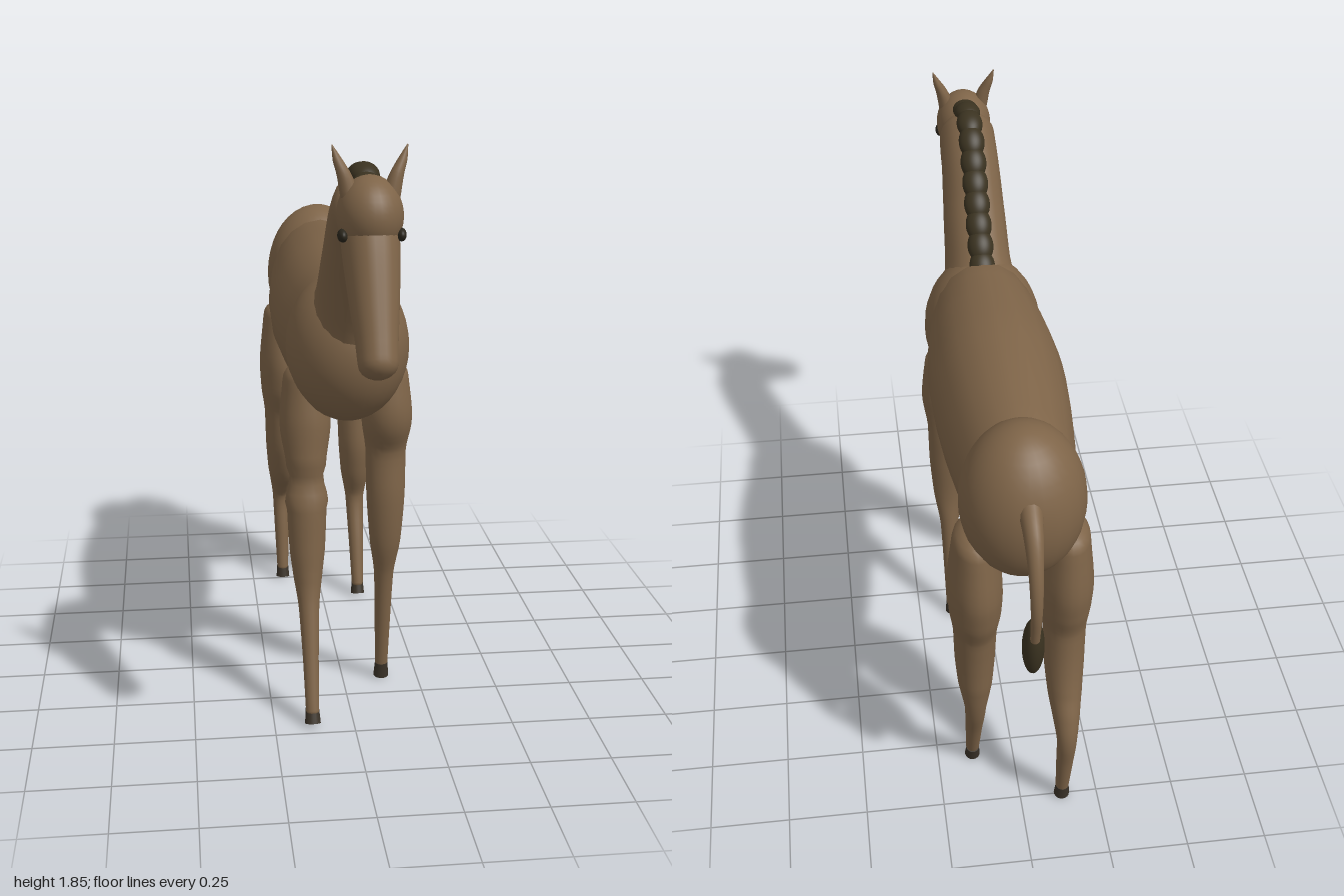
import * as THREE from 'three';

const mat = (name, color, side = THREE.FrontSide) => {
  const m = new THREE.MeshStandardMaterial({ color, side });
  m.name = name;
  return m;
};

// Smooth round-ended skin through sections [x, y, z, halfWidthX, halfDepth]
function loft(sections, sides = 20, steps = 5, round = 0.8) {
  const mid = new THREE.CatmullRomCurve3(sections.map(s => new THREE.Vector3(s[0], s[1], s[2])));
  const rad = new THREE.CatmullRomCurve3(sections.map(s => new THREE.Vector3(s[3], s[4], 0)));
  const n = (sections.length - 1) * steps;
  const rings = [];
  const tangent = t => mid.getTangent(t).setX(0).normalize();
  const cap = (t, sign) => {
    const c = mid.getPoint(t), r = rad.getPoint(t), T = tangent(t);
    const out = [];
    for (let k = 1; k <= 5; k++) {
      const a = k / 5 * Math.PI / 2;
      const depth = sign * round * Math.min(r.x, r.y) * Math.sin(a);
      const w = Math.max(Math.cos(a), 0.001);
      out.push({ c: c.clone().addScaledVector(T, depth), rx: r.x * w, rz: r.y * w, T });
    }
    return out;
  };
  rings.push(...cap(0, -1).reverse());
  for (let i = 0; i <= n; i++) {
    const t = i / n, r = rad.getPoint(t);
    rings.push({ c: mid.getPoint(t), rx: r.x, rz: r.y, T: tangent(t) });
  }
  rings.push(...cap(1, 1));

  const pos = [], idx = [], X = new THREE.Vector3(1, 0, 0);
  rings.forEach(({ c, rx, rz, T }, i) => {
    const B = new THREE.Vector3().crossVectors(T, X);
    for (let j = 0; j < sides; j++) {
      const a = j / sides * Math.PI * 2;
      const p = c.clone().addScaledVector(X, rx * Math.cos(a)).addScaledVector(B, rz * Math.sin(a));
      pos.push(p.x, p.y, p.z);
      if (i < rings.length - 1) {
        const k = (j + 1) % sides, u = i * sides, v = u + sides;
        idx.push(u + j, u + k, v + j, u + k, v + k, v + j);
      }
    }
  });
  const g = new THREE.BufferGeometry();
  g.setAttribute('position', new THREE.Float32BufferAttribute(pos, 3));
  g.setIndex(idx);
  g.computeVertexNormals();
  return g;
}

export function createModel() {
  const coat = mat('brown coat', 0x7e6448);
  const hair = mat('dark hair', 0x3a3220);
  const horn = mat('dark hoof', 0x3a3228);
  const eyeDark = mat('eye dark', 0x2a261c);
  const model = new THREE.Group();
  model.name = 'horse';

  const add = (name, geometry, material, parent = model) => {
    const m = new THREE.Mesh(geometry, material);
    m.name = name;
    parent.add(m);
    return m;
  };
  const ball = (name, material, [x, y, z], [rx, ry, rz], tilt = 0, parent = model) => {
    const m = add(name, new THREE.SphereGeometry(1, 28, 20), material, parent);
    m.position.set(x, y, z);
    m.scale.set(rx, ry, rz);
    m.rotation.x = tilt;
    return m;
  };

  // Torso
  add('barrel', loft([
    [0, 1.2, 0.23, 0.172, 0.232], [0, 1.2, 0.05, 0.2, 0.25], [0, 1.205, -0.15, 0.21, 0.26],
    [0, 1.21, -0.38, 0.198, 0.245], [0, 1.215, -0.62, 0.17, 0.215],
  ], 20, 3, 0.2), coat);
  ball('chest', coat, [0, 1.185, 0.25], [0.19, 0.237, 0.215]);
  ball('rump', coat, [0, 1.225, -0.69], [0.182, 0.247, 0.182]);

  // Neck and head
  add('neck', loft([
    [0, 1.26, 0.29, 0.13, 0.18], [0, 1.36, 0.37, 0.108, 0.135], [0, 1.5, 0.48, 0.1, 0.11],
    [0, 1.61, 0.57, 0.094, 0.108], [0, 1.67, 0.65, 0.09, 0.105],
  ]), coat);
  ball('skull', coat, [0, 1.665, 0.765], [0.09, 0.108, 0.11]);
  add('muzzle', loft([
    [0, 1.66, 0.735, 0.082, 0.105], [0, 1.56, 0.8, 0.078, 0.093], [0, 1.45, 0.865, 0.068, 0.076],
    [0, 1.36, 0.917, 0.058, 0.062], [0, 1.305, 0.946, 0.054, 0.056],
  ]), coat);

  for (const s of [-1, 1]) {
    add(s > 0 ? 'leftEar' : 'rightEar', loft([
      [s * 0.055, 1.72, 0.775, 0.026, 0.026], [s * 0.07, 1.775, 0.77, 0.02, 0.022],
      [s * 0.085, 1.81, 0.763, 0.014, 0.015], [s * 0.1, 1.85, 0.757, 0.002, 0.002],
    ], 12), coat);
    ball(s > 0 ? 'leftEye' : 'rightEye', eyeDark, [s * 0.078, 1.62, 0.808], [0.014, 0.018, 0.029]);
  }

  // Mane: overlapping tufts along the crest
  const mane = new THREE.Group();
  mane.name = 'mane';
  model.add(mane);
  const crest = new THREE.CatmullRomCurve3([
    [1.735, 0.71], [1.758, 0.63], [1.735, 0.55], [1.625, 0.44], [1.51, 0.335], [1.41, 0.245],
  ].map(([y, z]) => new THREE.Vector3(0, y, z)));
  for (let i = 0; i < 10; i++) {
    const t = i / 9, p = crest.getPointAt(t), d = crest.getTangentAt(t);
    ball('maneTuft', hair, p.toArray(), [0.042, 0.034, 0.056], Math.atan2(-d.y, d.z), mane);
  }

  // Tail
  add('tail', loft([
    [0, 1.31, -0.82, 0.036, 0.04], [0, 1.265, -0.9, 0.028, 0.032], [0, 1.18, -0.957, 0.021, 0.022],
    [0, 1.07, -0.983, 0.017, 0.017], [0, 0.94, -0.965, 0.014, 0.014],
  ], 14), coat);
  ball('tailTuft', hair, [0, 0.885, -0.935], [0.032, 0.107, 0.04], -0.05);

  // Legs: rows of [y, z, halfWidth, halfDepth] from the body down, then a hoof
  const leg = (name, x, rows) => {
    const g = new THREE.Group();
    g.name = name;
    model.add(g);
    add('limb', loft(rows.map(([y, z, rx, rz]) => [x, y, z, rx, rz])), coat, g);
    const [y1, z1] = rows.at(-1), [y0, z0] = rows.at(-2);
    const hoof = add('hoof', new THREE.CylinderGeometry(0.021, 0.025, 0.05, 18), horn, g);
    hoof.position.set(x, 0.029, z1);
    hoof.rotation.x = Math.atan2(z0 - z1, y0 - y1);
  };
  leg('leftFrontLeg', 0.13, [
    [1.07, 0.21, 0.068, 0.08], [0.95, 0.215, 0.08, 0.09], [0.83, 0.197, 0.065, 0.06],
    [0.68, 0.203, 0.062, 0.058], [0.52, 0.2, 0.05, 0.046], [0.4, 0.178, 0.032, 0.034],
    [0.2, 0.154, 0.025, 0.025], [0.045, 0.135, 0.021, 0.02],
  ]);
  leg('rightFrontLeg', -0.13, [
    [1.07, 0.215, 0.068, 0.08], [0.94, 0.23, 0.08, 0.085], [0.8, 0.262, 0.062, 0.06],
    [0.66, 0.275, 0.062, 0.06], [0.53, 0.286, 0.056, 0.058], [0.44, 0.3, 0.045, 0.052],
    [0.36, 0.332, 0.033, 0.034], [0.2, 0.388, 0.025, 0.025], [0.045, 0.44, 0.021, 0.02],
  ]);
  leg('leftHindLeg', 0.135, [
    [1.07, -0.68, 0.066, 0.1], [0.9, -0.673, 0.082, 0.128], [0.8, -0.672, 0.078, 0.112],
    [0.71, -0.665, 0.066, 0.084], [0.58, -0.653, 0.062, 0.08], [0.47, -0.658, 0.053, 0.066],
    [0.36, -0.664, 0.034, 0.036], [0.2, -0.61, 0.027, 0.028], [0.045, -0.56, 0.021, 0.022],
  ]);
  leg('rightHindLeg', -0.135, [
    [1.07, -0.68, 0.066, 0.1], [0.9, -0.673, 0.082, 0.125], [0.8, -0.672, 0.078, 0.112],
    [0.71, -0.678, 0.066, 0.084], [0.58, -0.695, 0.062, 0.078], [0.47, -0.732, 0.053, 0.066],
    [0.4, -0.775, 0.042, 0.05], [0.33, -0.803, 0.032, 0.034], [0.2, -0.784, 0.027, 0.028],
    [0.045, -0.757, 0.021, 0.022],
  ]);

  return model;
}
